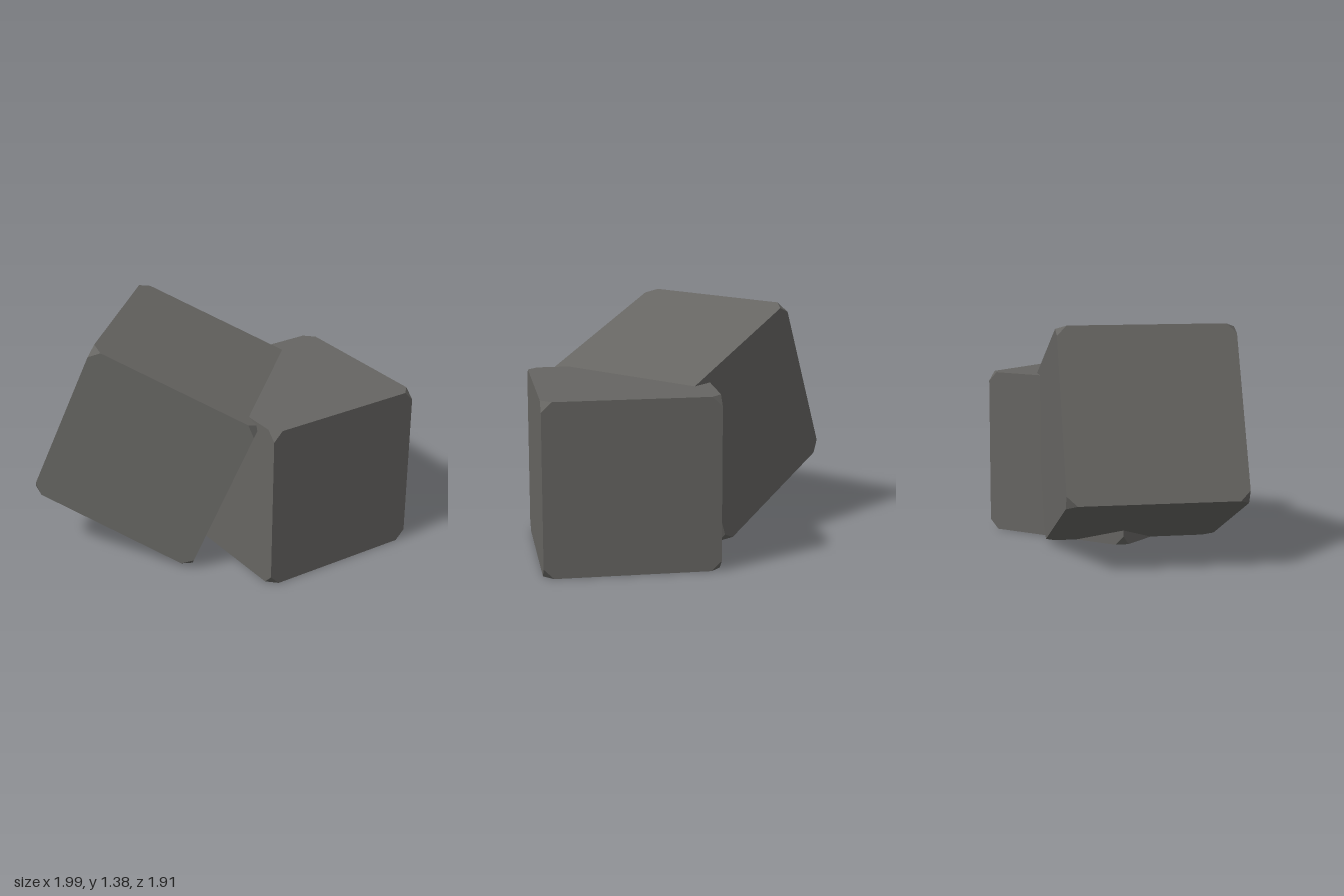
import * as THREE from 'three';
import { ConvexGeometry } from 'three/addons/geometries/ConvexGeometry.js';

// Cube with its eight corners cut off, leaving the edges sharp
function cutCornerCube(size, cut) {
  const h = size / 2, points = [];
  for (const sx of [-1, 1]) for (const sy of [-1, 1]) for (const sz of [-1, 1]) {
    for (let axis = 0; axis < 3; axis++) {
      const p = new THREE.Vector3(sx * h, sy * h, sz * h);
      p.setComponent(axis, p.getComponent(axis) * (1 - cut / h));
      points.push(p);
    }
  }
  return new ConvexGeometry(points);
}

export function createModel() {
  const group = new THREE.Group();
  const darkGrey = new THREE.MeshStandardMaterial({ color: 0x666562 });
  darkGrey.name = 'dark grey';

  // Upright block resting flat
  const uprightBlock = new THREE.Mesh(cutCornerCube(1.01, 0.058), darkGrey);
  uprightBlock.name = 'uprightBlock';
  uprightBlock.position.set(0.43, 0.505, -0.39);
  uprightBlock.rotation.y = -0.14;

  // Block tipped on one edge and leaning into the upright one
  const leaningBlock = new THREE.Mesh(cutCornerCube(1.058, 0.06), darkGrey);
  leaningBlock.name = 'leaningBlock';
  leaningBlock.position.set(-0.144, 0.69, 0.135);
  leaningBlock.rotation.set(0, 0.603, -0.387, 'YXZ');

  group.add(uprightBlock, leaningBlock);
  return group;
}
